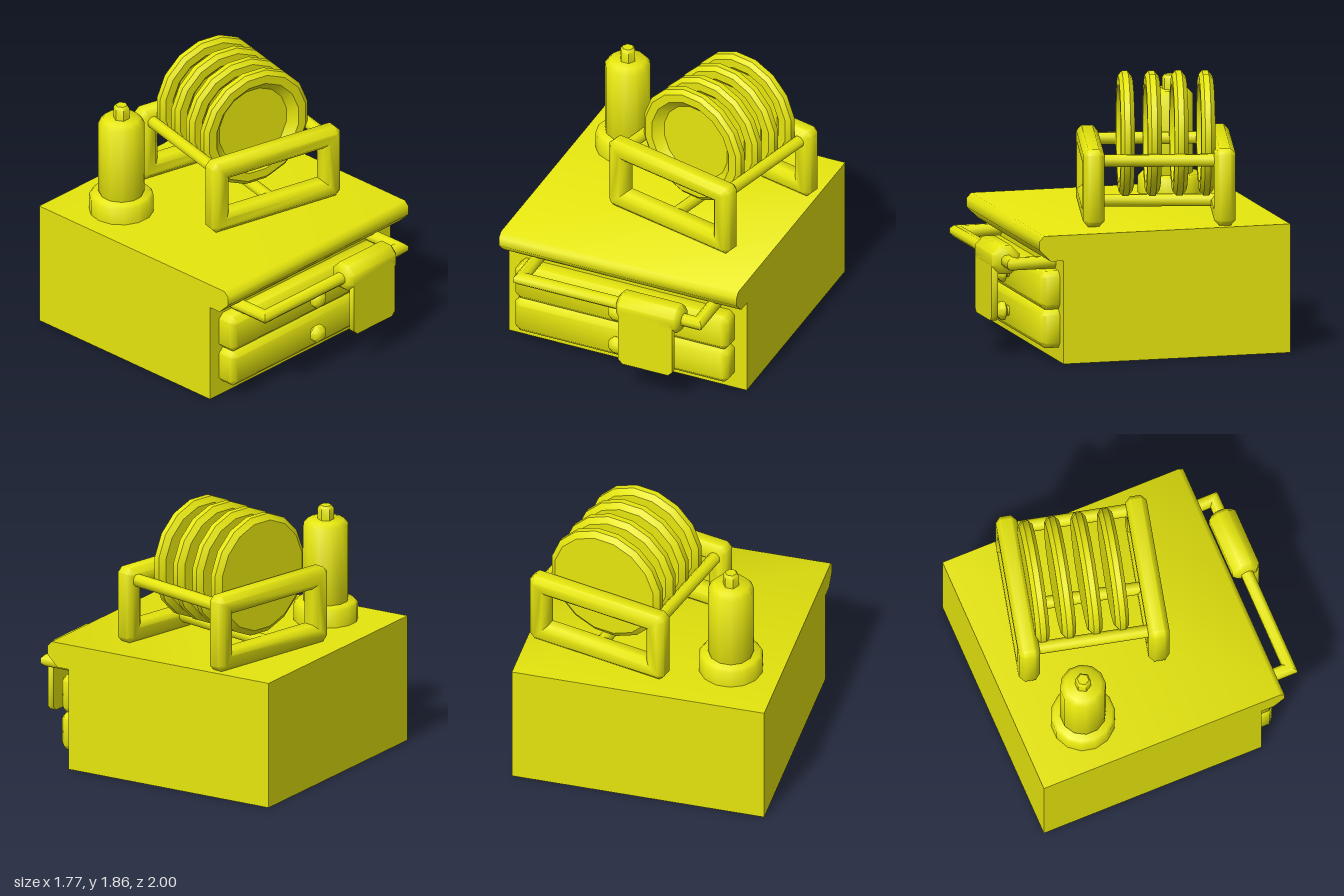
import * as THREE from 'three';
import { toCreasedNormals } from 'three/addons/utils/BufferGeometryUtils.js';

const material = new THREE.MeshStandardMaterial({ color: 0xe6e60e });

function add(parent, name, geometry, x = 0, y = 0, z = 0, crease = 0.9) {
  const mesh = new THREE.Mesh(toCreasedNormals(geometry, crease), material);
  mesh.name = name;
  mesh.position.set(x, y, z);
  parent.add(mesh);
  return mesh;
}

// Rectangle with cut corners, as outline points
function cutRect(w, h, c) {
  const x = w / 2, y = h / 2;
  return [[c - x, -y], [x - c, -y], [x, c - y], [x, y - c], [x - c, y], [c - x, y], [-x, y - c], [-x, c - y]]
    .map(p => new THREE.Vector2(...p));
}

// Bevelled slab centred on the origin, with an optional rectangular opening
function slab(w, h, d, bevel, cut, hole) {
  const shape = new THREE.Shape(cutRect(w - 2 * bevel, h - 2 * bevel, cut));
  if (hole) {
    const x = hole[0] / 2 + bevel, y = hole[1] / 2 + bevel;
    shape.holes.push(new THREE.Path([[-x, -y], [-x, y], [x, y], [x, -y]].map(p => new THREE.Vector2(...p))));
  }
  return new THREE.ExtrudeGeometry(shape, {
    depth: d - 2 * bevel, bevelEnabled: true, bevelSize: bevel, bevelThickness: bevel, bevelSegments: 1,
  }).translate(0, 0, bevel - d / 2);
}

// Turned part from [radius, height] pairs, with a flat side facing front
function turned(points, sides) {
  return new THREE.LatheGeometry(points.map(p => new THREE.Vector2(...p)), sides, Math.PI / sides);
}

export function createModel() {
  const model = new THREE.Group();
  model.name = 'kitchenCounter';

  // Cabinet and overhanging worktop in one side profile
  const side = new THREE.Shape([[-1, 0], [0.6, 0], [0.6, 0.71], [0.69, 0.71], [0.77, 0.79],
    [0.77, 0.85], [0.735, 0.885], [-1, 0.885]].map(p => new THREE.Vector2(...p)));
  const body = new THREE.ExtrudeGeometry(side, { depth: 1.77, bevelEnabled: false })
    .translate(0, 0, -0.885).rotateY(-Math.PI / 2);
  add(model, 'cabinetAndWorktop', body);

  // Drawers with knobs
  for (const y of [0.225, 0.49]) {
    add(model, 'drawer', slab(1.59, 0.265, 0.18, 0.035, 0.015), 0, y, 0.64);
    const knob = turned([[0, 0], [0.035, 0], [0.035, 0.02], [0.065, 0.035], [0.065, 0.06], [0.035, 0.09], [0, 0.09]], 8);
    add(model, 'drawerKnob', knob.rotateX(Math.PI / 2), -0.005, y, 0.725);
  }

  // Towel rail: an octagonal bar swept round a U with mitred corners
  const r = 0.045, n = 8;
  const corners = [[-0.66, 0.58, 1, 0], [-0.66, 0.9, 1, -1], [0.66, 0.9, -1, -1], [0.66, 0.58, -1, 0]];
  const pos = [], index = [];
  corners.forEach(([x, z, ox, oz], i) => {
    for (let j = 0; j < n; j++) {
      const a = (j + 0.5) / n * Math.PI * 2, s = r * Math.cos(a);
      pos.push(x + ox * s, 0.665 + r * Math.sin(a), z + oz * s);
      if (i < 3) {
        const k = (j + 1) % n, p = i * n + j, q = i * n + k;
        index.push(p, p + n, q, q, p + n, q + n);
      }
    }
  });
  const rail = new THREE.BufferGeometry();
  rail.setAttribute('position', new THREE.Float32BufferAttribute(pos, 3));
  rail.setIndex(index);
  const railMesh = add(model, 'towelRail', rail);
  railMesh.material = material.clone();
  railMesh.material.side = THREE.DoubleSide;

  // Towel folded over the rail
  const R = 0.097 / Math.cos(Math.PI / 8);
  const fold = turned([[0, -0.235], [R - 0.03, -0.235], [R, -0.205], [R, 0.205], [R - 0.03, 0.235], [0, 0.235]], 8);
  add(model, 'towelFold', fold.rotateZ(-Math.PI / 2), 0.315, 0.67, 0.903);
  const flap = new THREE.ExtrudeGeometry(new THREE.Shape(cutRect(0.4, 0.42, 0.03)), { depth: 0.045, bevelEnabled: false });
  add(model, 'towelFlap', flap, 0.31, 0.46, 0.955);

  // Bottle on a round stand
  const bottle = new THREE.Group();
  bottle.name = 'bottle';
  bottle.position.set(-0.535, 0.885, -0.565);
  model.add(bottle);
  add(bottle, 'bottleStand', turned([[0, 0], [0.22, 0], [0.22, 0.115], [0.2, 0.137], [0, 0.137]], 14));
  add(bottle, 'bottleBody', turned([[0, 0.11], [0.14, 0.11], [0.157, 0.15], [0.157, 0.675], [0.125, 0.71], [0, 0.71]], 12));
  add(bottle, 'bottleCap', turned([[0, 0.7], [0.055, 0.7], [0.055, 0.79], [0.04, 0.81], [0, 0.81]], 6));

  // Dish rack, turned a little on the worktop
  const rack = new THREE.Group();
  rack.name = 'dishRack';
  rack.position.set(0.255, 0, -0.235);
  rack.rotation.y = -0.235;
  model.add(rack);
  for (const s of [-1, 1]) {
    add(rack, 'rackEndFrame', slab(1.035, 0.53, 0.145, 0.035, 0.015, [0.76, 0.255]), 0, 1.15, s * 0.445);
  }
  for (const [x, y] of [[-0.44, 1.33], [0.44, 1.33], [0, 0.98]]) {
    const rod = new THREE.CylinderGeometry(0.044, 0.044, 0.84, 8, 1, false, Math.PI / 8);
    add(rack, 'rackRod', rod.rotateX(Math.PI / 2), x, y, 0);
  }

  // Four upright plates, dished towards the front
  for (let i = 0; i < 4; i++) {
    const plate = turned([[0, -0.05], [0.385, -0.05], [0.425, -0.02], [0.425, 0.02], [0.395, 0.045],
      [0.335, 0.045], [0.275, -0.015], [0, -0.015]], 16);
    add(rack, 'plate', plate.rotateX(Math.PI / 2), 0, 1.44, 0.21 - i * 0.182, 0.6);
  }
  return model;
}
